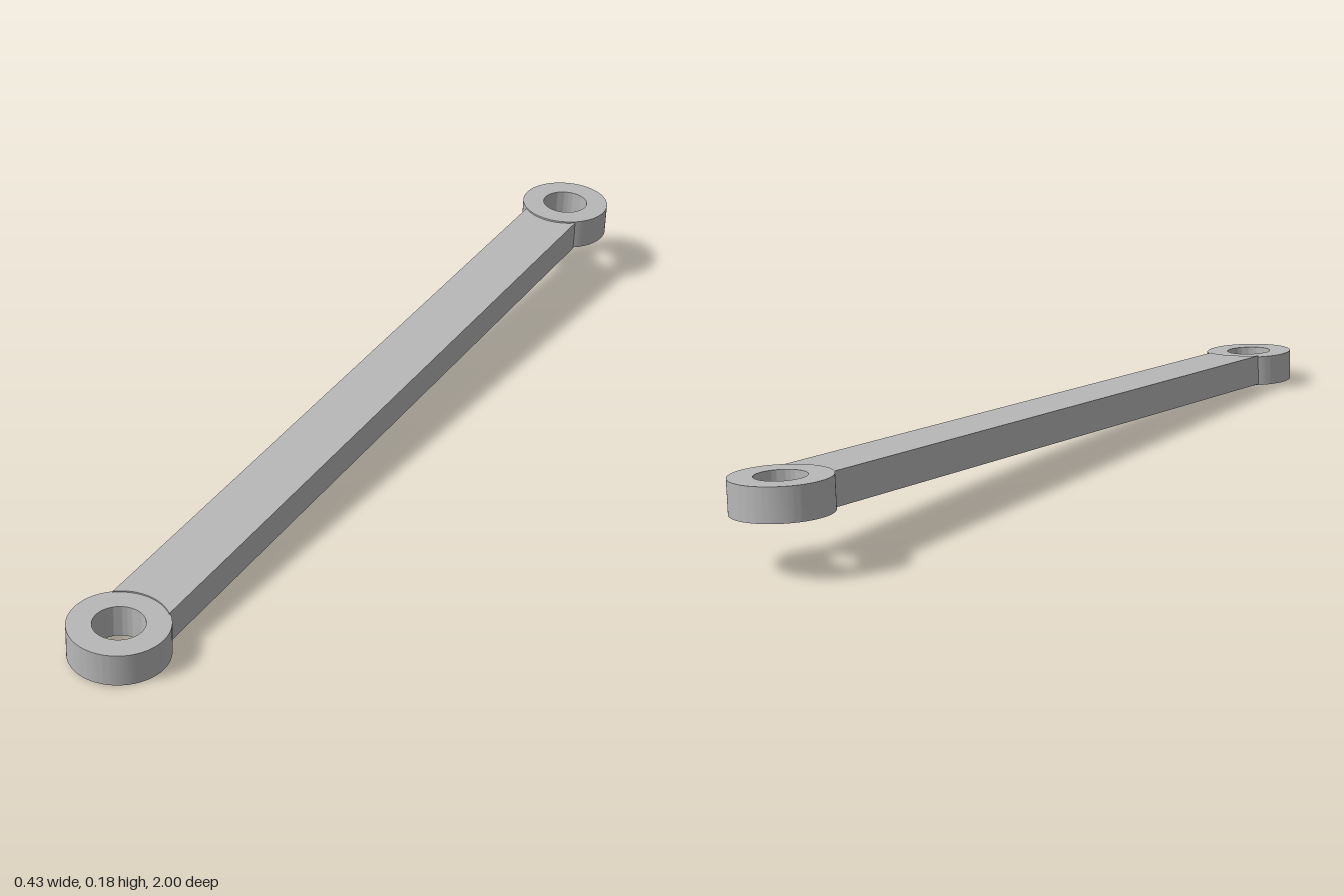
import * as THREE from 'three';
import { toCreasedNormals } from 'three/addons/utils/BufferGeometryUtils.js';

const R = 0.0975;        // outer radius of the eyes
const HOLE = 0.05;       // bore radius
const HALF_WIDTH = 0.063;
const THICK = 0.067;

// Extrude a flat outline upwards from y = 0, keeping hard edges sharp
function slab(shape) {
  const g = new THREE.ExtrudeGeometry(shape, { depth: THICK, bevelEnabled: false, curveSegments: 48 });
  g.rotateX(-Math.PI / 2);
  return toCreasedNormals(g, 0.6);
}

export function createModel() {
  const model = new THREE.Group();
  model.name = 'linkArm';
  const steel = new THREE.MeshStandardMaterial({ color: 0xb8b8b8 });
  steel.name = 'grey steel';

  // Bottom centres of the two eyes
  const front = new THREE.Vector3(0.118, 0.007, 0.902);
  const rear = new THREE.Vector3(-0.118, 0.108, -0.902);

  // Eyes: thick rings with a through bore, tilted slightly sideways
  const ring = new THREE.Shape().absarc(0, 0, R, 0, Math.PI * 2, false);
  ring.holes.push(new THREE.Path().absarc(0, 0, HOLE, 0, Math.PI * 2, true));
  const ringGeometry = slab(ring);
  for (const [name, position] of [['frontEye', front], ['rearEye', rear]]) {
    const eye = new THREE.Mesh(ringGeometry, steel);
    eye.name = name;
    eye.position.copy(position);
    eye.rotation.set(0.015, 0, -0.055);
    model.add(eye);
  }

  // Bar: straight sides, ends hollowed to fit around the eyes
  const half = front.distanceTo(rear) / 2;
  const r = R - 0.001;
  const a = Math.asin(HALF_WIDTH / r);
  const down = -Math.PI / 2, up = Math.PI / 2;
  const outline = new THREE.Shape();
  outline.moveTo(HALF_WIDTH, -half + r * Math.cos(a));
  outline.lineTo(HALF_WIDTH, half - r * Math.cos(a));
  outline.absarc(0, half, r, down + a, down - a, true);
  outline.lineTo(-HALF_WIDTH, -half + r * Math.cos(a));
  outline.absarc(0, -half, r, up + a, up - a, true);
  const bar = new THREE.Mesh(slab(outline), steel);
  bar.name = 'bar';

  // Lay the bar along the line between the eyes, with the same sideways tilt
  const along = front.clone().sub(rear).normalize();
  const normal = new THREE.Vector3(0.055, 1, 0);
  normal.addScaledVector(along, -normal.dot(along)).normalize();
  const across = normal.clone().cross(along);
  bar.quaternion.setFromRotationMatrix(new THREE.Matrix4().makeBasis(across, normal, along));
  bar.position.addVectors(front, rear).multiplyScalar(0.5);
  model.add(bar);

  return model;
}
